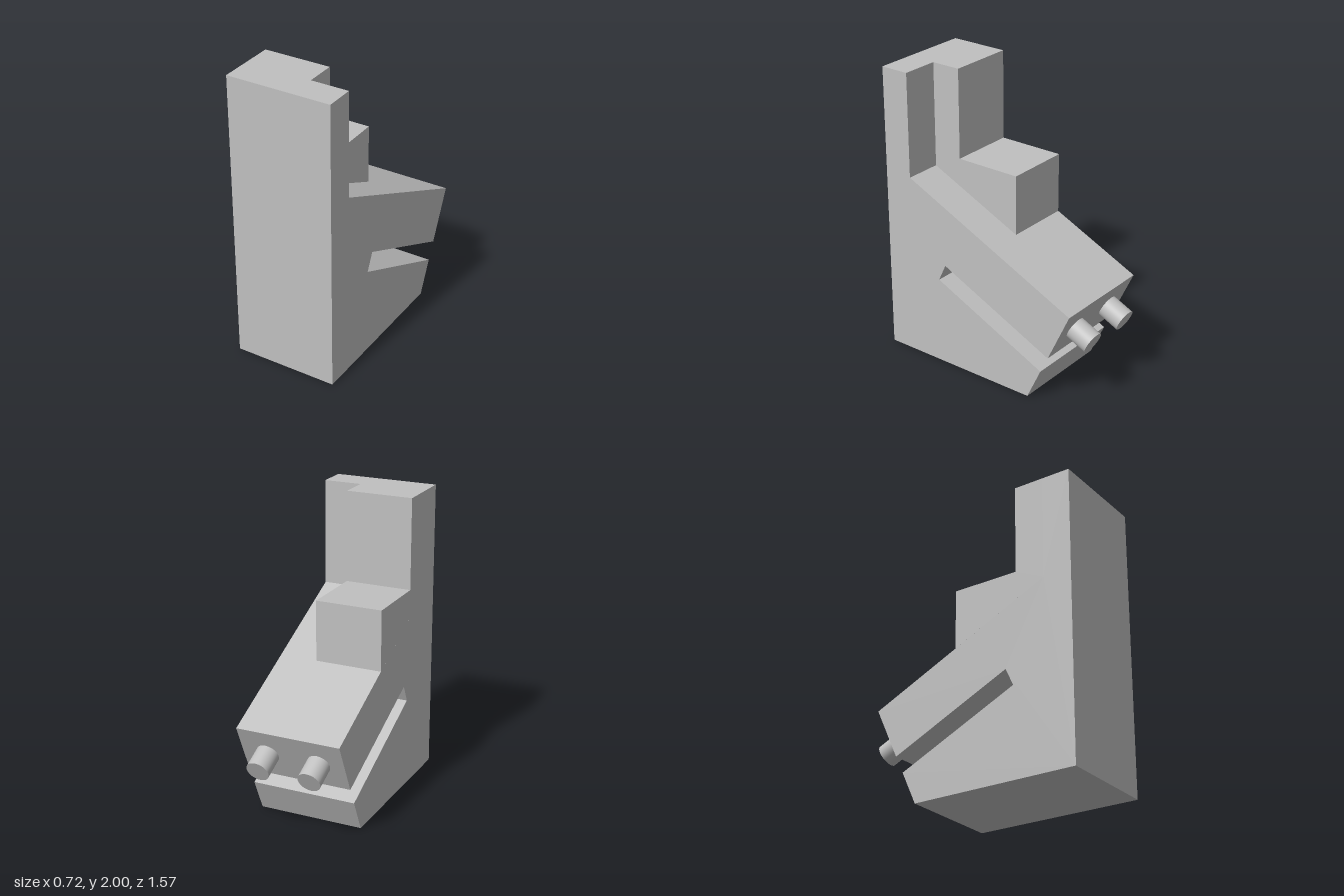
import * as THREE from 'three';

const HALF_WIDTH = 0.358;
const SLOPE = THREE.MathUtils.degToRad(25);

// Extrude a side profile of [z, y] points across the width from x0 to x1
function sideExtrusion(name, profile, x0, x1, material) {
  const shape = new THREE.Shape(profile.map(([z, y]) => new THREE.Vector2(-z, y)));
  const geometry = new THREE.ExtrudeGeometry(shape, { depth: x1 - x0, bevelEnabled: false });
  geometry.rotateY(Math.PI / 2);
  geometry.translate(x0, 0, 0);
  const mesh = new THREE.Mesh(geometry, material);
  mesh.name = name;
  return mesh;
}

export function createModel() {
  const group = new THREE.Group();
  group.name = 'slottedBlock';
  const grey = new THREE.MeshStandardMaterial({ color: 0xc0c0c0 });
  grey.name = 'plain grey';

  // Upright wall, sloping arm, slot and foot in one full-width profile
  group.add(sideExtrusion('body', [
    [0.787, 0], [0.787, 2], [0.586, 2], [0.586, 1.285],
    [-0.695, 0.69], [-0.535, 0.343], [0.302, 0.733],
    [0.358, 0.613], [-0.478, 0.223], [-0.375, 0],
  ], -HALF_WIDTH, HALF_WIDTH, grey));

  // Stepped block on top of the slope, beside the open channel
  group.add(sideExtrusion('steppedBlock', [
    [0.586, 2], [0.38, 2], [0.38, 1.385],
    [-0.082, 1.385], [-0.082, 0.975], [0.586, 1.285],
  ], -HALF_WIDTH, 0.1, grey));

  // Two round pegs, square to the end of the arm and sunk slightly into it
  const length = 0.17;
  const pegGeometry = new THREE.CylinderGeometry(0.077, 0.077, length, 40);
  pegGeometry.translate(0, -length / 2, 0);
  for (const side of [-1, 1]) {
    const peg = new THREE.Mesh(pegGeometry, grey);
    peg.name = side > 0 ? 'leftPeg' : 'rightPeg';
    peg.position.set(side * 0.179, 0.451, -0.753);
    peg.rotation.x = -(Math.PI / 2 + SLOPE);
    group.add(peg);
  }
  return group;
}
